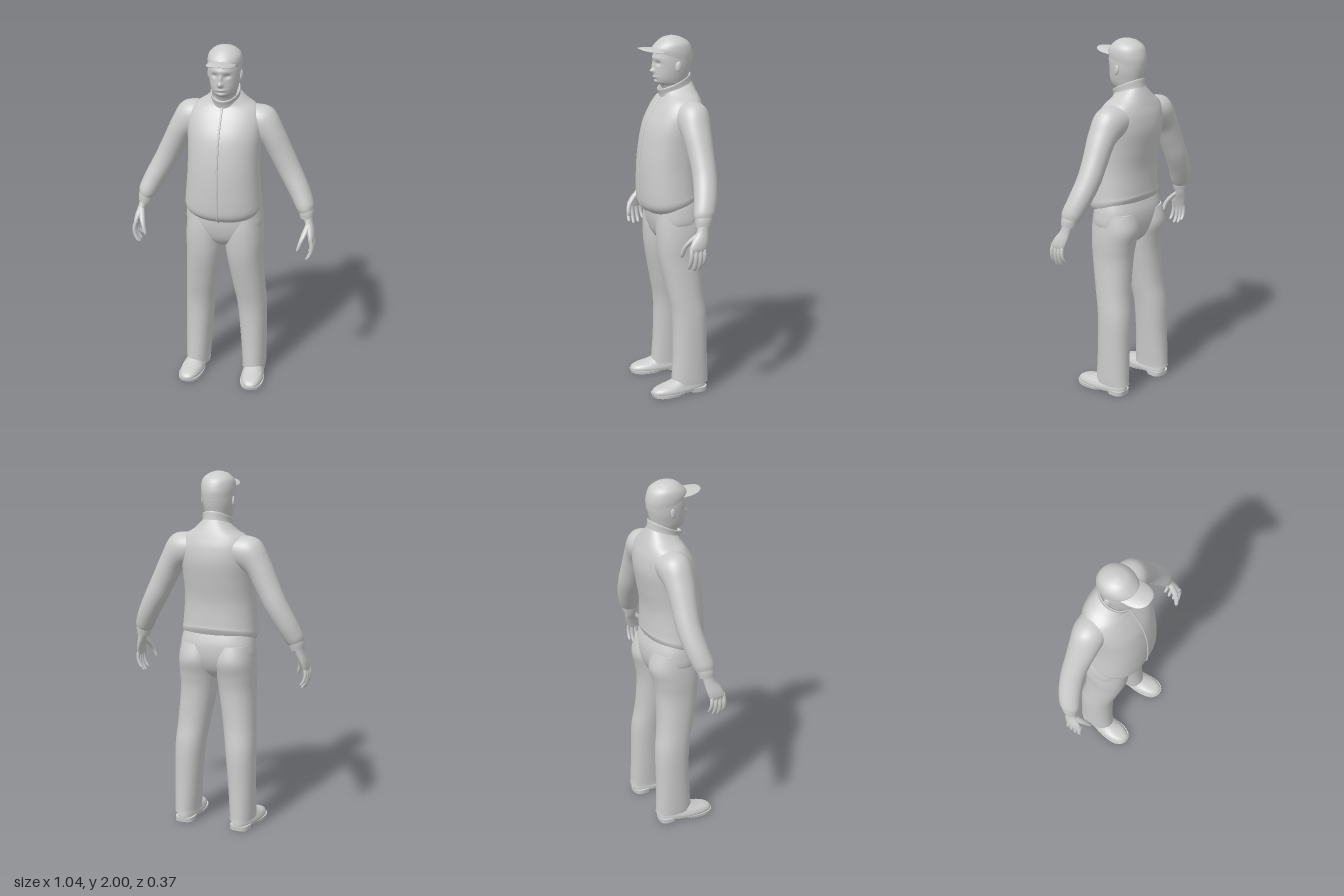
import * as THREE from 'three';

const material = new THREE.MeshStandardMaterial({ color: 0xcccccc });

// Catmull-Rom interpolation of every column of a section table
function smooth(rows, n) {
  const last = rows.length - 1, out = [];
  for (let i = 0; i <= n; i++) {
    const f = (i / n) * last, k = Math.min(Math.floor(f), last - 1), t = f - k;
    const get = (r, c) => rows[Math.max(0, Math.min(last, r))][c] || 0;
    out.push([0, 1, 2, 3, 4, 5, 6].map((c) => {
      const a = get(k - 1, c), b = get(k, c), d = get(k + 1, c), e = get(k + 2, c);
      const v0 = (d - a) / 2, v1 = (e - b) / 2;
      return (2 * b - 2 * d + v0 + v1) * t ** 3 + (3 * d - 3 * b - 2 * v0 - v1) * t * t + v0 * t + b;
    }));
  }
  return out;
}

function part(parent, name, geometry) {
  const mesh = new THREE.Mesh(geometry, material);
  mesh.name = name;
  parent.add(mesh);
  return mesh;
}

// Skin a closed body over sections [x, y, z, radiusX, radiusZ, bank, slope]
function loft(parent, name, rows, { steps = 32, sides = 40, p = 2, rule } = {}) {
  let rings = smooth(rows, steps);
  if (rings[0][1] > rings[steps][1]) rings.reverse();
  const shrink = (r) => [r[0], r[1], r[2], 0, 0, 0, 0];
  rings = [shrink(rings[0]), rings[0], ...rings, rings[steps], shrink(rings[steps])];
  const pos = [], index = [], v = new THREE.Vector3();
  const pow = (c) => Math.sign(c) * Math.abs(c) ** (2 / p);
  for (const [x, y, z, rx, rz, bank, slope] of rings) {
    for (let j = 0; j < sides; j++) {
      const a = (j / sides) * Math.PI * 2;
      const dx = rx * pow(Math.cos(a)), dz = rz * pow(Math.sin(a));
      v.set(x + dx * Math.cos(bank), y + dx * Math.sin(bank) + slope * dz, z + dz);
      if (rule) rule(v);
      pos.push(v.x, v.y, v.z);
    }
  }
  for (let i = 0; i < rings.length - 1; i++) {
    if (i === 1 || i === rings.length - 3) continue; // hard edge at each end
    for (let j = 0; j < sides; j++) {
      const a = i * sides + j, b = i * sides + ((j + 1) % sides);
      index.push(a, a + sides, b, b, a + sides, b + sides);
    }
  }
  const g = new THREE.BufferGeometry();
  g.setAttribute('position', new THREE.Float32BufferAttribute(pos, 3));
  g.setIndex(index);
  g.computeVertexNormals();
  return part(parent, name, g);
}

// Centred section given by height, half width, front z and back z
const fb = (y, w, front, back, slope = 0) => [0, y, (front + back) / 2, w, (front - back) / 2, 0, slope];

// Facial relief: [x, y, spreadX, spreadY, depth]
const relief = [
  [0, 1.812, 0.013, 0.013, 0.022], [0, 1.84, 0.009, 0.022, 0.012],
  [0.034, 1.856, 0.016, 0.011, -0.013], [-0.034, 1.856, 0.016, 0.011, -0.013],
  [0, 1.78, 0.022, 0.006, 0.006], [0, 1.767, 0.03, 0.005, -0.004],
  [0, 1.884, 0.05, 0.01, 0.005], [0, 1.75, 0.022, 0.01, 0.005],
];
function face(v) {
  if (v.z < 0.01) return;
  let d = 0;
  for (const [x, y, sx, sy, h] of relief) d += h * Math.exp(-(((v.x - x) / sx) ** 2) - ((v.y - y) / sy) ** 2);
  v.z += d;
}

function buildHead(root) {
  const head = new THREE.Group();
  head.name = 'head';
  root.add(head);
  loft(head, 'faceAndNeck', [
    fb(1.64, 0.06, 0.02, -0.1), fb(1.7, 0.06, 0.035, -0.1), fb(1.735, 0.059, 0.055, -0.1),
    fb(1.75, 0.064, 0.082, -0.1), fb(1.78, 0.074, 0.092, -0.103), fb(1.83, 0.084, 0.092, -0.114),
    fb(1.88, 0.087, 0.095, -0.12), fb(1.93, 0.082, 0.085, -0.114), fb(1.965, 0.058, 0.058, -0.085),
    fb(1.98, 0.02, 0.02, -0.03),
  ], { steps: 90, sides: 96, rule: face });
  loft(head, 'capCrown', [
    fb(1.885, 0.09, 0.1, -0.124, 0.3), fb(1.92, 0.092, 0.098, -0.126, 0.15), fb(1.957, 0.084, 0.08, -0.108),
    fb(1.985, 0.055, 0.047, -0.07), fb(1.997, 0.022, 0.014, -0.033), fb(2, 0.003, -0.007, -0.013),
  ]);
  // Cap visor: a thin rounded plate arched across its width
  const visor = new THREE.SphereGeometry(1, 40, 20), p = visor.attributes.position;
  for (let i = 0; i < p.count; i++) {
    const x = Math.sign(p.getX(i)) * Math.abs(p.getX(i)) ** 0.8 * 0.076;
    const z = Math.sign(p.getZ(i)) * Math.abs(p.getZ(i)) ** 0.85 * 0.112;
    p.setXYZ(i, x, 1.93 + p.getY(i) * 0.008 - 2.6 * x * x + z * 0.06, 0.07 + z);
  }
  visor.computeVertexNormals();
  part(head, 'capVisor', visor);
  for (const s of [1, -1]) {
    const ear = part(head, s > 0 ? 'leftEar' : 'rightEar', new THREE.SphereGeometry(1, 16, 12));
    ear.scale.set(0.009, 0.029, 0.017);
    ear.position.set(s * 0.088, 1.84, -0.015);
    ear.rotation.set(-0.15, s * -0.3, 0);
  }
}

function buildJacket(root) {
  const rows = [
    fb(1.075, 0.198, 0.135, -0.13, -0.28), fb(1.11, 0.213, 0.17, -0.146, -0.25), fb(1.16, 0.21, 0.18, -0.145, -0.12),
    fb(1.3, 0.199, 0.178, -0.145), fb(1.42, 0.199, 0.164, -0.165), fb(1.52, 0.205, 0.14, -0.18),
    fb(1.6, 0.203, 0.1, -0.174), fb(1.655, 0.175, 0.065, -0.158), fb(1.69, 0.12, 0.05, -0.142, -0.1),
    fb(1.725, 0.076, 0.05, -0.12, -0.3),
  ];
  loft(root, 'jacketBody', rows, { steps: 54, sides: 56, p: 2.25 });
  loft(root, 'collar', [
    fb(1.695, 0.083, 0.056, -0.125, -0.35), fb(1.725, 0.078, 0.062, -0.119, -0.42),
    fb(1.75, 0.08, 0.07, -0.116, -0.45), fb(1.752, 0.073, 0.064, -0.11, -0.45),
    fb(1.725, 0.06, 0.045, -0.1, -0.42),
  ]);
  // Zip follows the front centre line of the jacket
  const line = smooth(rows, 30).map((r) => new THREE.Vector3(0, r[1] + r[6] * r[4], r[2] + r[4]));
  part(root, 'zip', new THREE.TubeGeometry(new THREE.CatmullRomCurve3(line), 80, 0.0055, 8));
}

function buildArm(root, s) {
  const arm = new THREE.Group();
  arm.name = s > 0 ? 'leftArm' : 'rightArm';
  root.add(arm);
  const add = (name, rows, opts) =>
    loft(arm, name, rows.map(([x, y, z, rx, rz, bank = 0]) => [s * x, y, z, rx, rz, s * bank, 0]), opts);
  add('sleeve', [
    [0.1, 1.595, -0.06, 0.075, 0.085, 1.2], [0.18, 1.575, -0.06, 0.1, 0.09, 0.85], [0.25, 1.505, -0.058, 0.073, 0.08, 0.55],
    [0.305, 1.4, -0.062, 0.066, 0.07, 0.47], [0.355, 1.3, -0.062, 0.063, 0.066, 0.47], [0.41, 1.2, -0.046, 0.058, 0.064, 0.47],
    [0.447, 1.125, -0.026, 0.052, 0.06, 0.42], [0.458, 1.095, -0.02, 0.043, 0.052, 0.35],
  ], { steps: 42 });
  add('cuff', [[0.455, 1.11, -0.02, 0.04, 0.047, 0.35], [0.46, 1.085, -0.016, 0.042, 0.047, 0.25], [0.464, 1.056, -0.013, 0.038, 0.043, 0.2]], { steps: 8 });
  add('palm', [
    [0.466, 1.08, -0.014, 0.025, 0.03, 0.2], [0.477, 1.03, -0.003, 0.023, 0.033, 0.15], [0.492, 0.985, 0.017, 0.021, 0.045],
    [0.5, 0.95, 0.03, 0.017, 0.047], [0.501, 0.925, 0.033, 0.01, 0.04],
  ], { steps: 20, sides: 28 });
  // Four fingers curling inward, then the thumb
  [['indexFinger', 0.067, 0.836], ['middleFinger', 0.044, 0.822], ['ringFinger', 0.021, 0.828], ['littleFinger', 0, 0.85]].forEach(([name, z, tip], i) => {
    const y = (t) => 0.955 + (tip - 0.955) * t, drift = (z - 0.03) * 0.25, r = i === 3 ? 0.0105 : 0.012;
    add(name, [
      [0.498, y(0), z, r, r], [0.508, y(0.35), z + drift * 0.4, r, r], [0.502, y(0.7), z + drift * 0.7, r * 0.9, r * 0.9],
      [0.486, y(0.95), z + drift, r * 0.75, r * 0.75], [0.48, y(1), z + drift, 0.003, 0.003],
    ], { steps: 14, sides: 14 });
  });
  add('thumb', [
    [0.478, 1.025, 0.015, 0.014, 0.017], [0.465, 0.985, 0.056, 0.016, 0.018], [0.45, 0.945, 0.085, 0.012, 0.014],
    [0.438, 0.905, 0.095, 0.01, 0.012], [0.433, 0.885, 0.096, 0.003, 0.003],
  ], { steps: 16, sides: 16 });
}

function buildLeg(root, s) {
  const leg = new THREE.Group();
  leg.name = s > 0 ? 'leftLeg' : 'rightLeg';
  root.add(leg);
  loft(leg, 'trouserLeg', [
    [0.105, 1.06, -0.018, 0.1, 0.125], [0.108, 0.97, -0.025, 0.108, 0.141], [0.112, 0.88, -0.015, 0.107, 0.13],
    [0.117, 0.78, -0.013, 0.1, 0.118], [0.137, 0.6, -0.033, 0.09, 0.102], [0.153, 0.45, -0.056, 0.083, 0.098],
    [0.163, 0.25, -0.058, 0.074, 0.098], [0.169, 0.09, -0.056, 0.068, 0.105], [0.169, 0.055, -0.056, 0.067, 0.108],
  ].map((r) => [s * r[0], ...r.slice(1)]), { steps: 48, p: 2.2 });

  // Shoe: rounded upper on a separate sole and heel, toes turned out
  const shoe = new THREE.Group();
  shoe.name = 'shoe';
  shoe.position.x = s * 0.177;
  shoe.rotation.y = s * 0.08;
  leg.add(shoe);
  const waist = (v) => { v.x *= 0.84 + 0.16 * THREE.MathUtils.smoothstep(v.z, -0.08, 0.06); };
  loft(shoe, 'upper', [
    fb(0.012, 0.064, 0.174, -0.148), fb(0.03, 0.066, 0.174, -0.15), fb(0.048, 0.06, 0.15, -0.148),
    fb(0.064, 0.053, 0.09, -0.145), fb(0.085, 0.046, 0.04, -0.14), fb(0.11, 0.042, 0.01, -0.13),
  ], { p: 2.4, rule: waist });
  loft(shoe, 'sole', [fb(0.001, 0.066, 0.174, -0.03), fb(0.018, 0.068, 0.179, -0.06)], { p: 2.4, steps: 2 });
  loft(shoe, 'heel', [fb(0, 0.055, -0.045, -0.15), fb(0.025, 0.056, -0.035, -0.152)], { p: 2.8, steps: 2 });
}

export function createModel() {
  const root = new THREE.Group();
  root.name = 'standingMan';
  buildHead(root);
  buildJacket(root);
  loft(root, 'trouserSeat', [
    fb(1.13, 0.195, 0.12, -0.13), fb(1.06, 0.212, 0.125, -0.15), fb(0.98, 0.212, 0.12, -0.148),
    fb(0.91, 0.15, 0.1, -0.12), fb(0.86, 0.05, 0.06, -0.07),
  ], { p: 2.4 });
  for (const s of [1, -1]) {
    buildArm(root, s);
    buildLeg(root, s);
  }
  return root;
}
